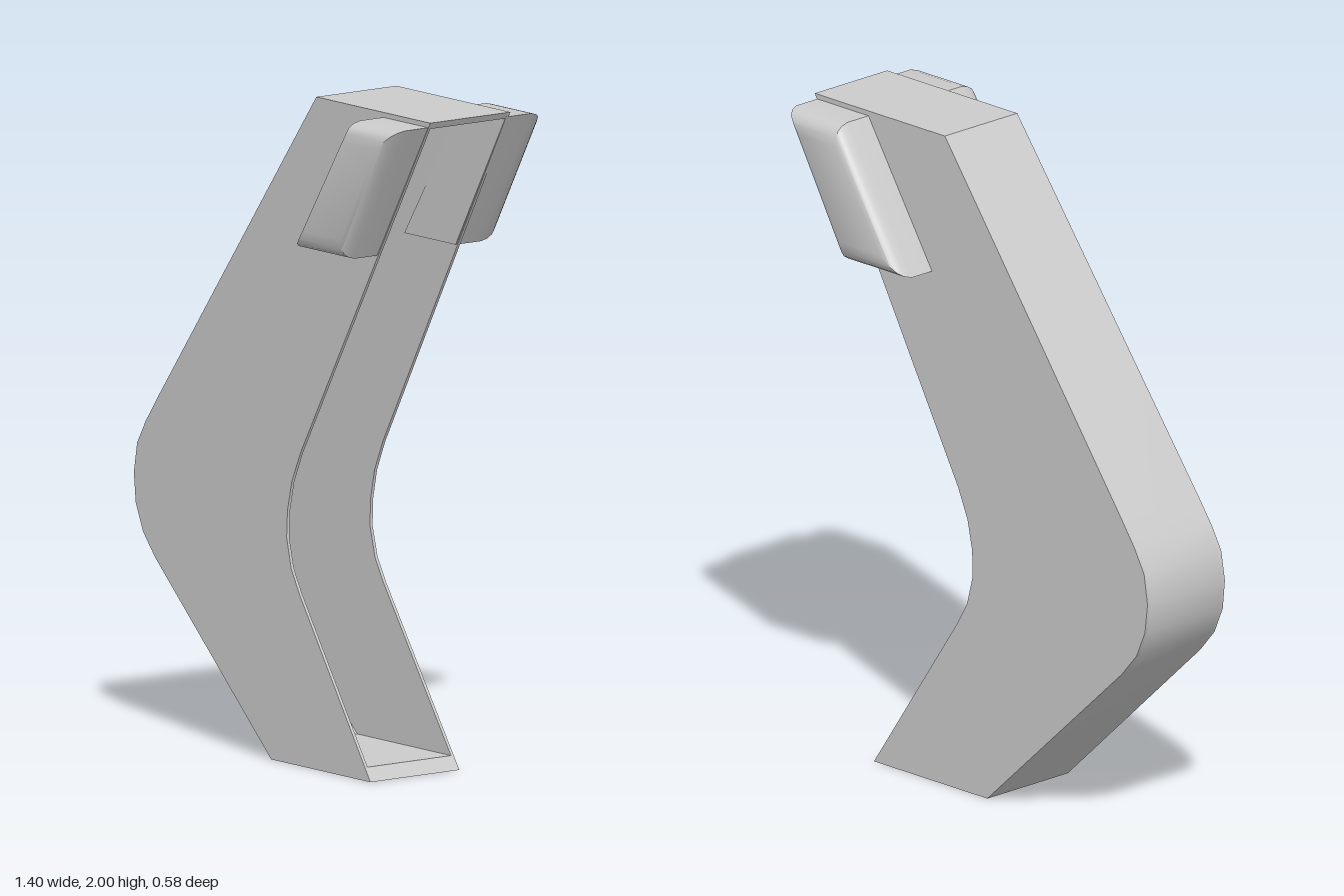
import * as THREE from 'three';
import { toCreasedNormals, mergeVertices } from 'three/addons/utils/BufferGeometryUtils.js';

const HALF = 0.165; // half width at the foot
const WALL = 0.01;  // side wall thickness

// bend of the back edge (bottom to top) and of the open edge (top to bottom)
const backBend = [[-0.6, 0.52], [-0.66, 0.59], [-0.695, 0.67], [-0.705, 0.76], [-0.69, 0.85], [-0.65, 0.92], [-0.6, 0.99]];
const openBend = [[0.09, 0.93], [0.05, 0.84], [0.03, 0.75], [0.027, 0.67], [0.05, 0.58], [0.09, 0.51]];

const toShape = (pts) => new THREE.Shape(pts.map(([x, y]) => new THREE.Vector2(x, y)));

// extrude between two z values, narrowing slightly towards the top
function taperedPlate(pts, z0, z1) {
  const geo = new THREE.ExtrudeGeometry(toShape(pts), { depth: z1 - z0, bevelEnabled: false });
  geo.translate(0, 0, z0);
  const p = geo.attributes.position;
  for (let i = 0; i < p.count; i++) p.setZ(i, p.getZ(i) * (1 - 0.05 * p.getY(i)));
  return toCreasedNormals(geo, 0.5);
}

// pad: slanted cross-sections shrinking towards a rounded outer face
function padGeometry() {
  const base = [[0.205, 1.57], [0.45, 1.57], [0.69, 1.985], [0.475, 1.985]];
  const cx = 0.455, cy = 1.7775;
  const rings = [[0.139, 1], [0.235, 1], [0.258, 0.97], [0.274, 0.92], [0.284, 0.84], [0.29, 0.7]];
  const pos = [], index = [];
  for (const [z, s] of rings) {
    for (const [x, y] of base) pos.push(cx + (x - cx) * s, cy + (y - cy) * s, z);
  }
  for (let r = 0; r < rings.length - 1; r++) {
    for (let i = 0; i < 4; i++) {
      const a = r * 4 + i, b = r * 4 + (i + 1) % 4;
      index.push(a, b, b + 4, a, b + 4, a + 4);
    }
  }
  const t = (rings.length - 1) * 4;
  index.push(t, t + 1, t + 2, t, t + 2, t + 3, 0, 2, 1, 0, 3, 2);
  const geo = new THREE.BufferGeometry();
  geo.setAttribute('position', new THREE.Float32BufferAttribute(pos, 3));
  geo.setIndex(index);
  return toCreasedNormals(mergeVertices(geo), 0.6);
}

export function createModel() {
  const group = new THREE.Group();
  const mat = new THREE.MeshStandardMaterial({ color: 0xcccccc, side: THREE.DoubleSide });
  const add = (name, geo) => {
    const mesh = new THREE.Mesh(geo, mat);
    mesh.name = name;
    group.add(mesh);
    return mesh;
  };

  // full bent outline for the two side walls
  const outline = [[-0.04, 0], [0.435, 0], ...[...openBend].reverse(), [0.7, 2], [0.155, 2], ...[...backBend].reverse()];
  add('leftSideWall', taperedPlate(outline, HALF - WALL, HALF));
  add('rightSideWall', taperedPlate(outline, -HALF, WALL - HALF));

  // back wall with top and bottom caps, leaving the inner side open
  const innerBend = backBend.map(([x, y]) => [x + 0.04, y]).reverse();
  const channel = [
    [-0.04, 0], [0.435, 0], [0.408, 0.04], [-0.04, 0.04],
    ...innerBend.reverse(), [0.18, 1.98], [0.688, 1.98], [0.7, 2], [0.155, 2],
    ...[...backBend].reverse(),
  ];
  add('backWallAndCaps', taperedPlate(channel, WALL - HALF, HALF - WALL));

  // mirrored side pads near the top
  const pad = padGeometry();
  add('leftPad', pad);
  add('rightPad', pad.clone().rotateY(0)).scale.z = -1;

  return group;
}
